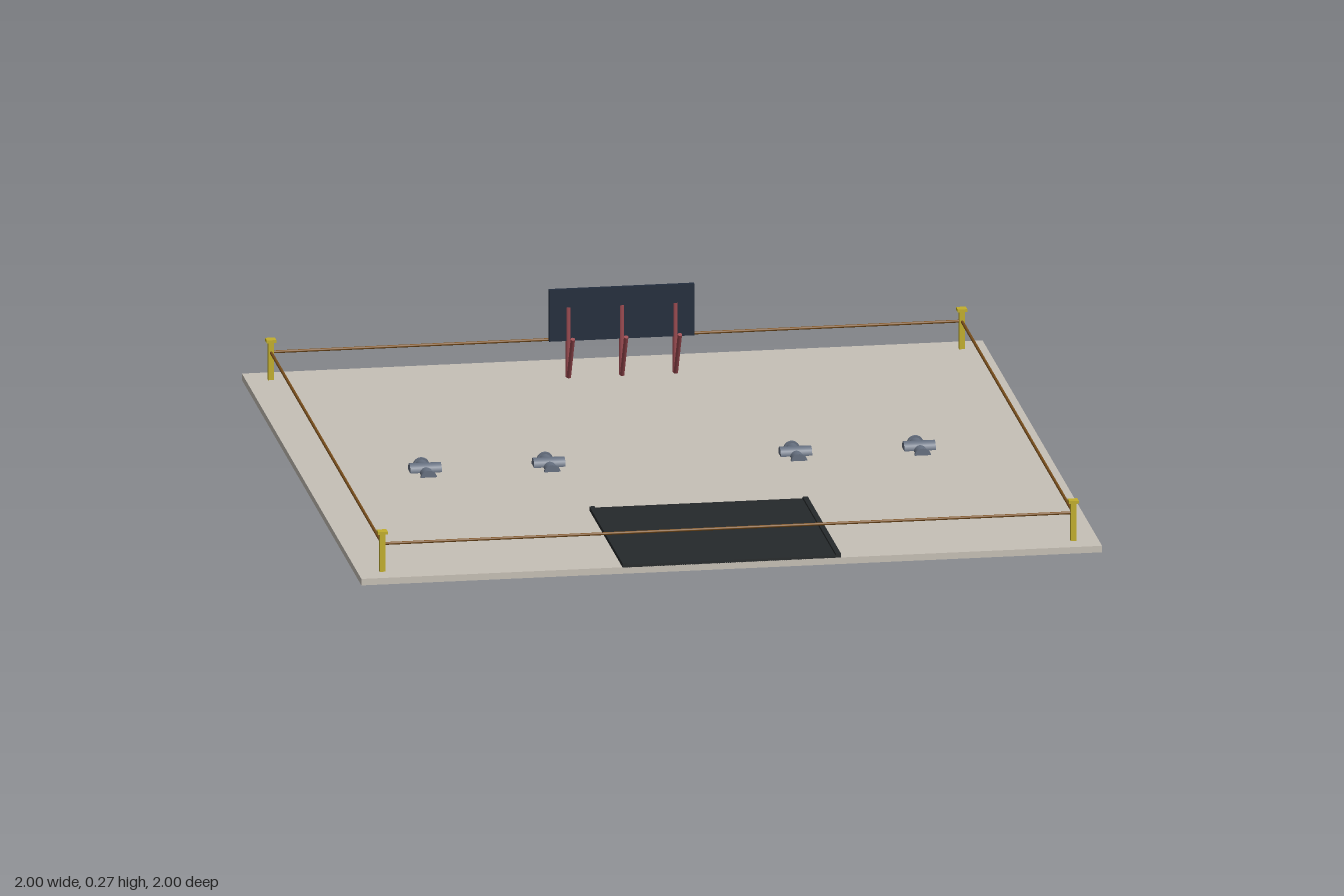
import * as THREE from 'three';

const paint = (color) => new THREE.MeshStandardMaterial({ color });
const stone = paint(0xc6c0b6), dark = paint(0x25292b), navy = paint(0x222d3d);
const red = paint(0x9a4a50), steel = paint(0x667080), yellow = paint(0xc2ae2c), ropeBrown = paint(0x7a4f1c);

function add(parent, name, geometry, material, x, y, z) {
  const mesh = new THREE.Mesh(geometry, material);
  mesh.name = name;
  mesh.position.set(x, y, z);
  parent.add(mesh);
  return mesh;
}
const box = (w, h, d) => new THREE.BoxGeometry(w, h, d);

// Round bar between two points
function bar(parent, name, a, b, radius, material) {
  const from = new THREE.Vector3(...a), to = new THREE.Vector3(...b);
  const dir = to.clone().sub(from);
  const mid = from.clone().add(to).multiplyScalar(0.5);
  const mesh = add(parent, name, new THREE.CylinderGeometry(radius, radius, dir.length(), 12), material, mid.x, mid.y, mid.z);
  mesh.quaternion.setFromUnitVectors(new THREE.Vector3(0, 1, 0), dir.normalize());
  return mesh;
}

// Pipe cross with flanged ends, half sunk in the floor
function pipeCross(x) {
  const group = new THREE.Group();
  group.name = 'pipeCross';
  const tube = (name, r, length, y, z, alongX) => {
    const geometry = new THREE.CylinderGeometry(r, r, length, 20);
    if (alongX) geometry.rotateZ(Math.PI / 2);
    else geometry.rotateX(Math.PI / 2);
    add(group, name, geometry, steel, x, y, z);
  };
  tube('mainPipe', 0.018, 0.12, 0.0225, 0, false);
  tube('crossPipe', 0.021, 0.085, 0.027, 0, true);
  for (const side of [-1, 1]) tube('flange', 0.0225, 0.009, 0.0225, side * 0.062, false);
  return group;
}

export function createModel() {
  const model = new THREE.Group();
  model.name = 'fencedYard';
  const ground = 0.026;

  // Floor slab
  add(model, 'floorSlab', box(2, 0.018, 2), stone, 0, 0.017, 0);

  // Entrance mat with raised edges
  const mat = new THREE.Group();
  mat.name = 'entranceMat';
  add(mat, 'matBase', box(0.59, 0.006, 0.555), dark, 0, 0.028, 0.7225);
  for (const side of [-1, 1]) {
    add(mat, 'matSideRim', box(0.014, 0.012, 0.555), dark, side * 0.288, 0.031, 0.7225);
    add(mat, 'matEndRim', box(0.562, 0.007, 0.008), dark, 0, 0.0295, 0.7225 + side * 0.2735);
  }
  model.add(mat);

  // Row of pipe crosses
  for (const x of [-0.667, -0.333, 0.333, 0.667]) model.add(pipeCross(x));

  // Notice board on three legs with slanted braces
  const board = new THREE.Group();
  board.name = 'noticeBoard';
  add(board, 'boardPanel', box(0.392, 0.143, 0.012), navy, -0.002, 0.198, -0.833);
  for (const x of [-0.146, -0.002, 0.143]) {
    bar(board, 'boardLeg', [x, 0.02, -0.832], [x, 0.219, -0.832], 0.0075, red);
    bar(board, 'boardBrace', [x, 0.022, -0.825], [x, 0.152, -0.754], 0.006, red);
  }
  model.add(board);

  // Corner posts with caps, joined by ropes
  const fence = new THREE.Group();
  fence.name = 'ropeFence';
  const e = 0.933, ropeY = 0.102;
  for (const sx of [-1, 1]) for (const sz of [-1, 1]) {
    add(fence, 'cornerPost', box(0.016, 0.106, 0.016), yellow, sx * e, ground + 0.053, sz * e);
    add(fence, 'postCap', box(0.026, 0.008, 0.026), yellow, sx * e, 0.134, sz * e);
  }
  for (const s of [-1, 1]) {
    bar(fence, 'rope', [-e, ropeY, s * e], [e, ropeY, s * e], 0.004, ropeBrown);
    bar(fence, 'rope', [s * e, ropeY, -e], [s * e, ropeY, e], 0.004, ropeBrown);
  }
  model.add(fence);

  return model;
}
